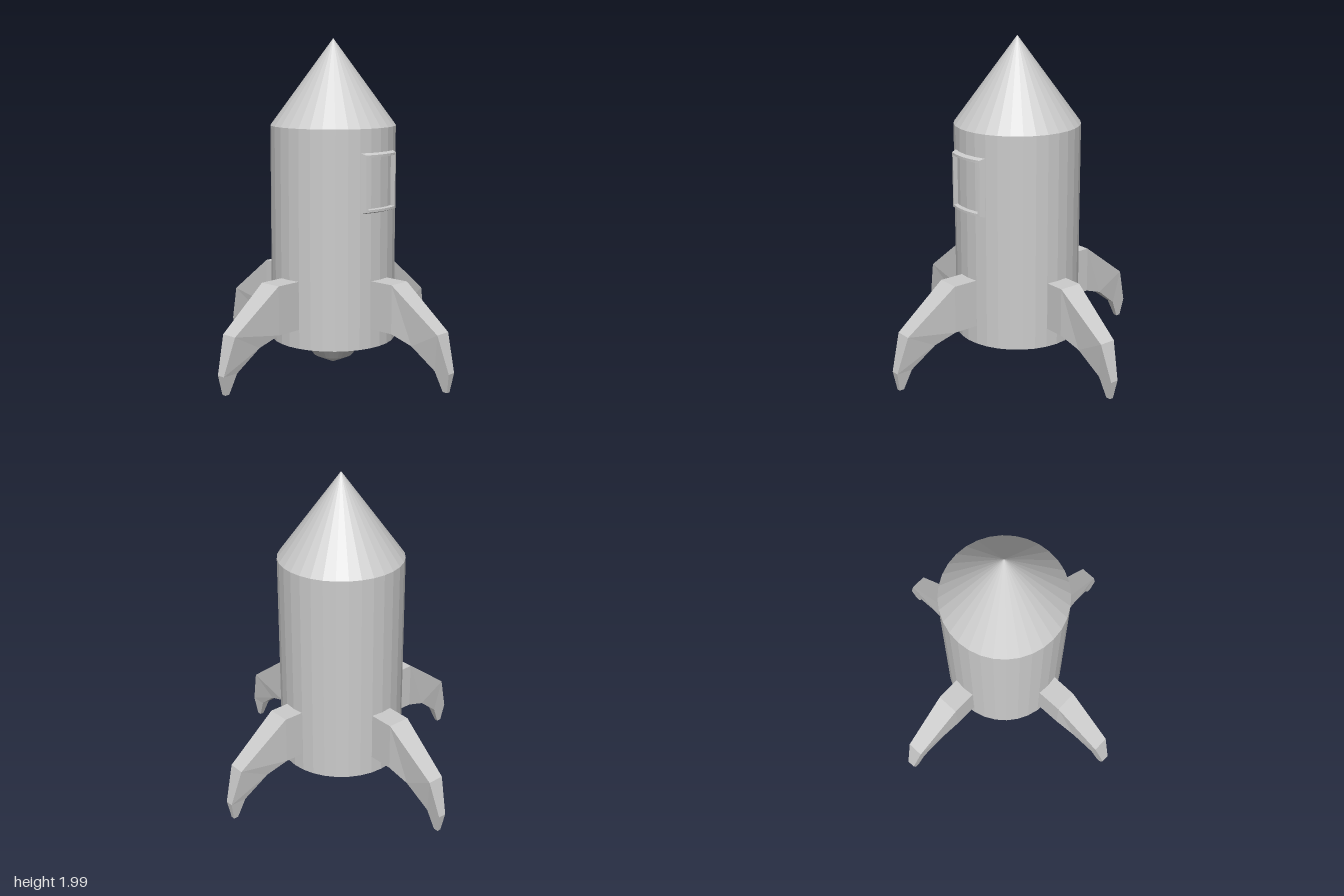
import * as THREE from 'three';

const SIDES = 32;
const material = new THREE.MeshStandardMaterial({ color: 0xcccccc, flatShading: true });

function addMesh(parent, name, geometry) {
  const mesh = new THREE.Mesh(geometry, material);
  mesh.name = name;
  parent.add(mesh);
  return mesh;
}

function lathe(points) {
  return new THREE.LatheGeometry(points.map(([r, y]) => new THREE.Vector2(r, y)), SIDES);
}

// Joins closed loops of equal length into a skin; the last loop may be capped.
function loft(loops, capEnd) {
  const n = loops[0].length;
  const index = [];
  for (let i = 0; i < loops.length - 1; i++) {
    for (let j = 0; j < n; j++) {
      const a = i * n + j, b = i * n + (j + 1) % n;
      index.push(a, b, b + n, a, b + n, a + n);
    }
  }
  if (capEnd) {
    const s = (loops.length - 1) * n;
    for (let j = 1; j < n - 1; j++) index.push(s, s + j, s + j + 1);
  }
  const indexed = new THREE.BufferGeometry();
  indexed.setAttribute('position', new THREE.Float32BufferAttribute(loops.flat(2), 3));
  indexed.setIndex(index);
  const geometry = indexed.toNonIndexed();
  geometry.computeVertexNormals();
  return geometry;
}

// Curved landing fin reaching along +x: [top x, top y, bottom x, bottom y, half width]
function finGeometry() {
  const sections = [
    [0.30, 0.59, 0.30, 0.30, 0.072],
    [0.525, 0.59, 0.525, 0.30, 0.07],
    [0.845, 0.35, 0.66, 0.25, 0.05],
    [0.91, 0.13, 0.81, 0.13, 0.025],
    [0.89, 0.015, 0.86, 0.015, 0.012],
  ];
  return loft(sections.map(([tx, ty, bx, by, h]) => [
    [tx, ty, h], [bx, by, h], [bx, by, -h], [tx, ty, -h],
  ]), true);
}

// Bevelled rectangular frame wrapped on the cylinder: rings of [inset, radius]
function windowFrameGeometry() {
  const halfWidth = 0.145, halfHeight = 0.18, middle = 1.17, steps = 8;
  const rings = [[0, 0.365], [0.014, 0.405], [0.028, 0.405], [0.032, 0.365]];
  return loft(rings.map(([inset, r]) => {
    const w = halfWidth - inset, h = halfHeight - inset;
    const loop = [];
    for (const side of [1, -1]) {
      for (let i = 0; i <= steps; i++) {
        const z = -side * w * (2 * i / steps - 1);
        loop.push([Math.sqrt(r * r - z * z), middle - side * h, z]);
      }
    }
    return loop;
  }), false);
}

export function createModel() {
  const model = new THREE.Group();
  model.name = 'rocket';

  // Hull and window sit slightly behind the centre of the fins
  const hull = new THREE.Group();
  hull.name = 'hull';
  hull.position.z = -0.02;
  model.add(hull);
  addMesh(hull, 'noseCone', lathe([[0.378, 1.485], [0, 2]]));
  addMesh(hull, 'body', lathe([[0.378, 0.185], [0.378, 1.485]]));
  addMesh(hull, 'bodyBase', lathe([[0.165, 0.125], [0.378, 0.185]]));
  addMesh(hull, 'nozzle', lathe([[0, 0.01], [0.12, 0.065], [0.165, 0.125]]));
  addMesh(hull, 'windowFrame', windowFrameGeometry());

  // Four fins, one per quarter turn
  const geometry = finGeometry();
  ['leftFin', 'backFin', 'rightFin', 'frontFin'].forEach((name, i) => {
    const fin = addMesh(model, name, geometry);
    fin.rotation.y = i * Math.PI / 2;
    if (i % 2) fin.position.z = i === 1 ? 0.013 : -0.013;
    else fin.position.z = -0.022;
  });

  return model;
}
